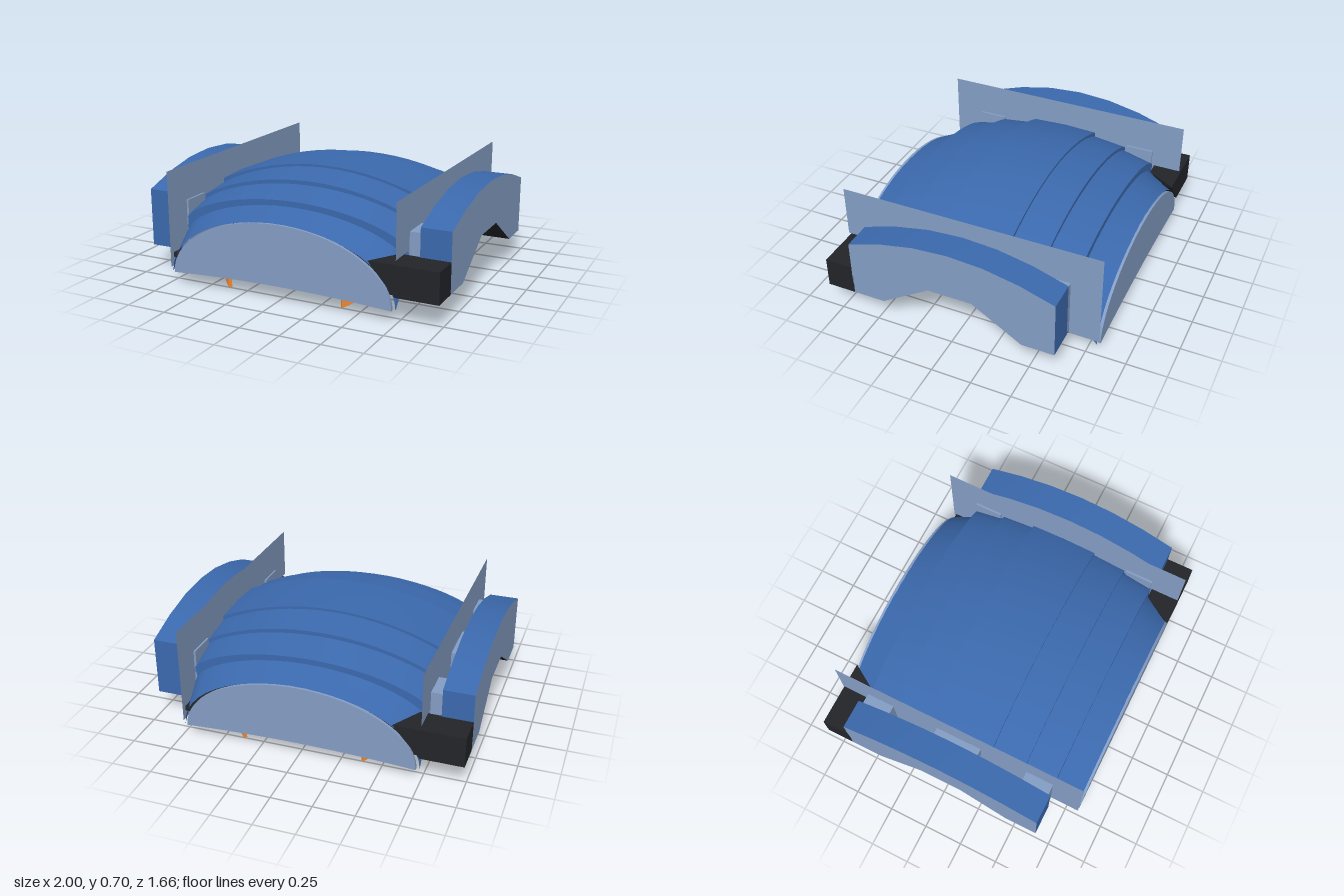
import * as THREE from 'three';
import { ConvexGeometry } from 'three/addons/geometries/ConvexGeometry.js';

const mat = (color, flatShading = false) =>
  new THREE.MeshStandardMaterial({ color, flatShading, side: THREE.DoubleSide });
const blue = mat(0x3b69ad), pale = mat(0x849dc4), black = mat(0x222428, true), orange = mat(0xf08a35, true);

function add(parent, name, geometry, material, x = 0, y = 0, z = 0) {
  const mesh = new THREE.Mesh(geometry, material);
  mesh.name = name;
  mesh.position.set(x, y, z);
  parent.add(mesh);
  return mesh;
}

// Surface through rows of [x, y, z] points, smooth inside the sheet
function sheet(rows) {
  const n = rows[0].length, index = [];
  for (let i = 0; i < rows.length - 1; i++)
    for (let j = 0; j < n - 1; j++) {
      const a = i * n + j, b = a + 1, c = a + n, d = c + 1;
      index.push(a, b, c, b, d, c);
    }
  const g = new THREE.BufferGeometry();
  g.setAttribute('position', new THREE.Float32BufferAttribute(rows.flat(2), 3));
  g.setIndex(index);
  g.computeVertexNormals();
  return g;
}

// Flat outline of [z, y] points facing +x
function sidePanel(points) {
  const shape = new THREE.Shape(points.map(([z, y]) => new THREE.Vector2(-z, y)));
  return new THREE.ShapeGeometry(shape).rotateY(Math.PI / 2);
}

const box = (x, y, z) => new THREE.BoxGeometry(x, y, z);
const hull = (points) => new ConvexGeometry(points.map((p) => new THREE.Vector3(...p)));

// Stepped, domed shell: [z, crown height, edge height, roundness]
function buildShell(root) {
  const half = [
    [0.815, 0.47, 0.07, 0.5], [0.64, 0.525, 0.28, 0.62], [0.64, 0.56, 0.37, 0.7],
    [0.44, 0.61, 0.43, 0.8], [0.44, 0.635, 0.46, 0.85], [0.22, 0.67, 0.49, 0.92],
    [0.22, 0.685, 0.52, 0.97],
  ];
  const sections = [...half, [0, 0.69, 0.53, 1], ...half.map(([z, ...r]) => [-z, ...r]).reverse()];
  const rows = sections.map(([z, top, edge, k]) => {
    const row = [];
    for (let j = 0; j <= 24; j++) {
      const t = Math.sin((j / 24 - 0.5) * Math.PI);
      row.push([0.74 * t, edge + (top - edge) * Math.pow(Math.max(0, 1 - t * t), k), z]);
    }
    return row;
  });
  const shell = new THREE.Group();
  shell.name = 'shell';
  for (let i = 0; i < rows.length - 1; i++) {
    if (i === 7) continue;
    add(shell, 'shellBand', sheet(i === 6 ? rows.slice(6, 9) : rows.slice(i, i + 2)), blue);
  }
  root.add(shell);

  // End caps with a slightly hollow lower edge
  const cap = new THREE.Shape();
  cap.moveTo(-0.72, 0.07);
  cap.quadraticCurveTo(0, 0.12, 0.72, 0.07);
  cap.absellipse(0, 0.07, 0.72, 0.4, 0, Math.PI, false, 0);
  for (const z of [0.81, -0.83])
    add(root, 'endCap', new THREE.ExtrudeGeometry(cap, { depth: 0.02, bevelEnabled: false, curveSegments: 24 }), pale, 0, 0, z);
}

// One side: plate, arched pod, connectors and corner arm
function buildSide() {
  const side = new THREE.Group();
  side.name = 'sideAssembly';
  add(side, 'sidePlate', sidePanel([
    [-0.83, 0.1], [-0.83, 0.7], [0.83, 0.7], [0.83, 0.37], [0.645, 0.37], [0.645, 0.1],
  ]), pale, 0.743);

  const top = [[0.655, 0.52], [0.44, 0.59], [0.22, 0.635], [0, 0.65], [-0.22, 0.635], [-0.44, 0.59], [-0.655, 0.52]];
  const under = [[-0.655, 0.155], [-0.45, 0.155], [-0.14, 0.35], [0.14, 0.35], [0.45, 0.155], [0.655, 0.155]];
  const strip = (pts) => sheet(pts.map(([z, y]) => [[0.815, y, z], [1, y, z]]));
  add(side, 'podTop', strip(top), blue);
  add(side, 'podFrontEnd', strip([under[5], top[0]]), blue);
  add(side, 'podBackEnd', strip([top[6], under[0]]), blue);
  for (let i = 0; i < 5; i++) add(side, 'podUnderside', strip([under[i], under[i + 1]]), black);
  for (const x of [0.815, 1]) add(side, 'podSide', sidePanel([...top, ...under]), pale, x);

  // Connectors between plate and pod
  const connector = new THREE.Shape([[0.73, 0.095], [0.815, 0.155], [0.815, 0.48], [0.73, 0.48]].map((p) => new THREE.Vector2(...p)));
  for (const z of [-0.64, 0.455]) {
    add(side, 'connector', new THREE.ExtrudeGeometry(connector, { depth: 0.18, bevelEnabled: false }), pale, 0, 0, z);
    add(side, 'connectorUnderside', sheet([
      [[0.74, 0.099, z], [0.74, 0.099, z + 0.18]], [[0.817, 0.153, z], [0.817, 0.153, z + 0.18]],
    ]), black);
  }
  add(side, 'middleConnector', box(0.08, 0.13, 0.3), pale, 0.778, 0.415, 0);

  // Light slits under the pod arch
  add(side, 'slit', box(0.006, 0.025, 0.15), orange, 0.746, 0.28, 0.075);
  add(side, 'slit', box(0.006, 0.02, 0.075), orange, 0.746, 0.28, -0.1);

  add(side, 'cornerArm', hull([
    [0.575, 0.345, 0.832], [1, 0.345, 0.832], [1, 0.345, 0.65], [0.69, 0.345, 0.645],
    [0.74, 0.155, 0.832], [1, 0.155, 0.832], [1, 0.155, 0.65], [0.74, 0.155, 0.645],
  ]), black);
  return side;
}

// Base plate, central disc and diagonal claws
function buildBase(root) {
  add(root, 'basePlate', box(1.47, 0.03, 1.62), black, 0, 0.175, 0);
  add(root, 'baseDisc', new THREE.CylinderGeometry(0.5, 0.5, 0.06, 40), black, 0, 0.132, 0);
  add(root, 'centreLight', new THREE.CylinderGeometry(0.19, 0.19, 0.01, 32), orange, 0, 0.1, 0);

  // Thin fin: upper edge from a to b, tip straight below b
  const fin = ([ax, az], [bx, bz]) => hull([-0.008, 0.008].flatMap((o) => [
    [ax + 0.04 + o, 0.165, az - 0.04 + o], [ax + o, 0.095, az + o],
    [(ax + bx) / 2 + o, 0.04, (az + bz) / 2 + o], [bx + o, 0, bz + o], [bx + o, 0.165, bz + o],
  ]));
  const outer = fin([0.53, 0.6], [0.375, 0.745]), inner = fin([0.475, 0.48], [0.325, 0.585]);
  for (const sx of [1, -1])
    for (const sz of [1, -1]) {
      const foot = new THREE.Group();
      foot.name = 'foot';
      add(foot, 'outerClaw', outer, orange);
      add(foot, 'innerClaw', inner, orange);
      add(foot, 'footPad', box(0.24, 0.04, 0.14), orange, 0.2, 0.14, 0.74);
      foot.scale.set(sx, 1, sz);
      root.add(foot);
    }
}

export function createModel() {
  const root = new THREE.Group();
  root.name = 'model';
  buildShell(root);
  buildBase(root);
  // The two sides match by a half turn
  for (const turn of [0, Math.PI]) {
    const side = buildSide();
    side.rotation.y = turn;
    root.add(side);
  }
  return root;
}
